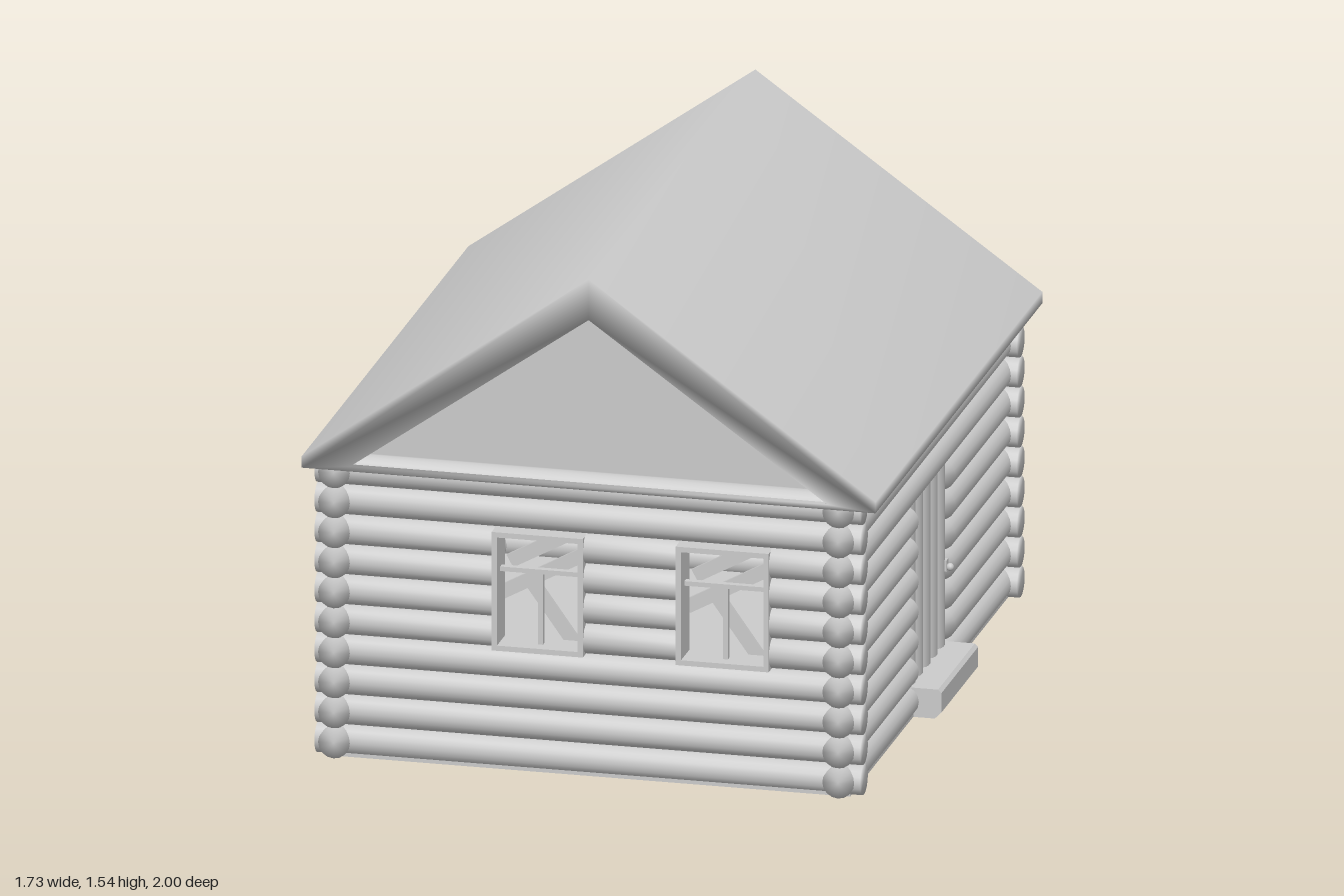
import * as THREE from 'three';
import { mergeVertices } from 'three/addons/utils/BufferGeometryUtils.js';

const material = new THREE.MeshStandardMaterial({ color: 0xcccccc, side: THREE.DoubleSide });
const ROWS = 10, PITCH = 0.0925, RADIUS = 0.047;
const WALL_Z = 0.94, LEFT_X = 0.75, RIGHT_X = -0.77;
const WINDOWS = [[-0.295, -0.02], [0.26, 0.54]];
const WIN_BOTTOM = 0.37, WIN_TOP = 0.735;
const DOOR = [-0.23, 0.21];

function add(parent, name, geometry, x = 0, y = 0, z = 0) {
  const mesh = new THREE.Mesh(geometry, material);
  mesh.name = name;
  mesh.position.set(x, y, z);
  parent.add(mesh);
  return mesh;
}

const box = (parent, name, w, h, d, x, y, z) =>
  add(parent, name, new THREE.BoxGeometry(w, h, d), x, y, z);

// Share vertices across edges for soft, rounded shading
function soften(geometry) {
  geometry.deleteAttribute('normal');
  geometry.deleteAttribute('uv');
  const welded = mergeVertices(geometry, 1e-4);
  welded.computeVertexNormals();
  return welded;
}

function polygon(points, Type = THREE.Shape) {
  return new Type(points.map(([x, y]) => new THREE.Vector2(x, y)));
}

// A log lying along x or z between two ends
function log(parent, axis, from, to, y, offset) {
  const geometry = soften(new THREE.CylinderGeometry(RADIUS, RADIUS, to - from, 16));
  const mid = (from + to) / 2;
  const mesh = add(parent, 'log', geometry);
  if (axis === 'x') {
    mesh.rotation.z = Math.PI / 2;
    mesh.position.set(mid, y, offset);
  } else {
    mesh.rotation.x = Math.PI / 2;
    mesh.position.set(offset, y, mid);
  }
}

// A wall of stacked logs; rows in [first, last] are cut by the gaps
function logWall(parent, name, axis, from, to, offset, gaps, first, last) {
  const wall = new THREE.Group();
  wall.name = name;
  parent.add(wall);
  for (let i = 0; i < ROWS; i++) {
    const y = RADIUS + i * PITCH;
    let start = from;
    if (i >= first && i <= last) {
      for (const [a, b] of gaps) {
        log(wall, axis, start, a, y, offset);
        start = b;
      }
    }
    log(wall, axis, start, to, y, offset);
  }
}

// Framed window with a T of glazing bars and boards nailed inside
function windowUnit(parent, [x0, x1], side, boards) {
  const group = new THREE.Group();
  group.name = 'window';
  const t = 0.016, cx = (x0 + x1) / 2, w = x1 - x0, h = WIN_TOP - WIN_BOTTOM;
  const frame = polygon([[x0, WIN_BOTTOM], [x1, WIN_BOTTOM], [x1, WIN_TOP], [x0, WIN_TOP]]);
  frame.holes.push(polygon([
    [x0 + t, WIN_BOTTOM + t], [x0 + t, WIN_TOP - t],
    [x1 - t, WIN_TOP - t], [x1 - t, WIN_BOTTOM + t]], THREE.Path));
  add(group, 'windowFrame',
    new THREE.ExtrudeGeometry(frame, { depth: 0.1, bevelEnabled: false }), 0, 0, side * WALL_Z - 0.05);
  box(group, 'crossBar', w - t, 0.014, 0.02, cx, 0.61, side * WALL_Z);
  box(group, 'uprightBar', 0.014, 0.61 - WIN_BOTTOM, 0.02, cx, (0.61 + WIN_BOTTOM) / 2, side * WALL_Z);
  for (const [dx, y, length, angle] of boards) {
    const board = box(group, 'board', length, 0.042, 0.012, cx + dx, y, side * 0.885);
    board.rotation.z = angle;
  }
  if (h > 0) parent.add(group);
}

export function createModel() {
  const cabin = new THREE.Group();
  cabin.name = 'logCabin';

  // Log walls
  logWall(cabin, 'frontWall', 'x', -0.83, 0.815, WALL_Z, WINDOWS, 4, 7);
  logWall(cabin, 'backWall', 'x', -0.83, 0.815, -WALL_Z, WINDOWS, 4, 7);
  logWall(cabin, 'rightWall', 'z', -0.995, 0.995, RIGHT_X, [], 0, -1);
  logWall(cabin, 'leftWall', 'z', -0.995, 0.995, LEFT_X, [DOOR], 1, 6);
  box(cabin, 'floor', LEFT_X - RIGHT_X + 0.06, 0.02, 1.94, (LEFT_X + RIGHT_X) / 2, 0.01, 0);

  // Windows, boarded differently front and back
  const frontBoards = [[0.02, 0.685, 0.29, 0.5], [0, 0.59, 0.3, 0.5], [0.02, 0.47, 0.27, -0.95]];
  const backBoards = [[0, 0.49, 0.32, 0.75], [-0.1, 0.55, 0.36, Math.PI / 2 - 0.08]];
  for (const span of WINDOWS) {
    windowUnit(cabin, span, 1, frontBoards);
    windowUnit(cabin, span, -1, backBoards);
  }

  // Plank door with a knob
  const door = new THREE.Group();
  door.name = 'door';
  cabin.add(door);
  const planks = 5, plankWidth = (DOOR[1] - DOOR[0]) / planks;
  for (let i = 0; i < planks; i++) {
    const plank = add(door, 'doorPlank',
      new THREE.CylinderGeometry(plankWidth / 2, plankWidth / 2, 0.56, 14),
      LEFT_X, 0.37, DOOR[0] + (i + 0.5) * plankWidth);
    plank.scale.x = 0.55;
  }
  box(door, 'knobPlate', 0.02, 0.035, 0.02, LEFT_X + 0.02, 0.335, -0.2);
  add(door, 'doorKnob', new THREE.SphereGeometry(0.012, 10, 8), LEFT_X + 0.038, 0.33, -0.2);

  // Doorstep
  const stepProfile = polygon([
    [0.72, 0], [0.845, 0], [0.865, 0.02], [0.865, 0.08], [0.855, 0.09], [0.72, 0.09]]);
  add(cabin, 'doorstep',
    new THREE.ExtrudeGeometry(stepProfile, { depth: DOOR[1] - DOOR[0], bevelEnabled: false }), 0, 0, DOOR[0]);

  // Pitched roof, hollow under the slopes
  const roof = polygon([[-0.865, 0.89], [0.865, 0.89], [0.865, 0.925], [0, 1.54], [-0.865, 0.925]]);
  const hollow = [[-0.72, 0.905], [0, 1.415], [0.72, 0.905]];
  roof.holes.push(polygon(hollow, THREE.Path));
  add(cabin, 'roof',
    soften(new THREE.ExtrudeGeometry(roof, { depth: 2, bevelEnabled: false })), 0, 0, -1);

  // Recessed gables, the back one with a small vent
  for (const side of [1, -1]) {
    const gable = polygon(hollow);
    if (side < 0) gable.holes.push(polygon([[-0.04, 1.06], [0.04, 1.06], [0, 1.2]], THREE.Path));
    add(cabin, side > 0 ? 'frontGable' : 'backGable',
      new THREE.ExtrudeGeometry(gable, { depth: 0.02, bevelEnabled: false }), 0, 0, side * 0.9 - 0.01);
  }
  return cabin;
}
